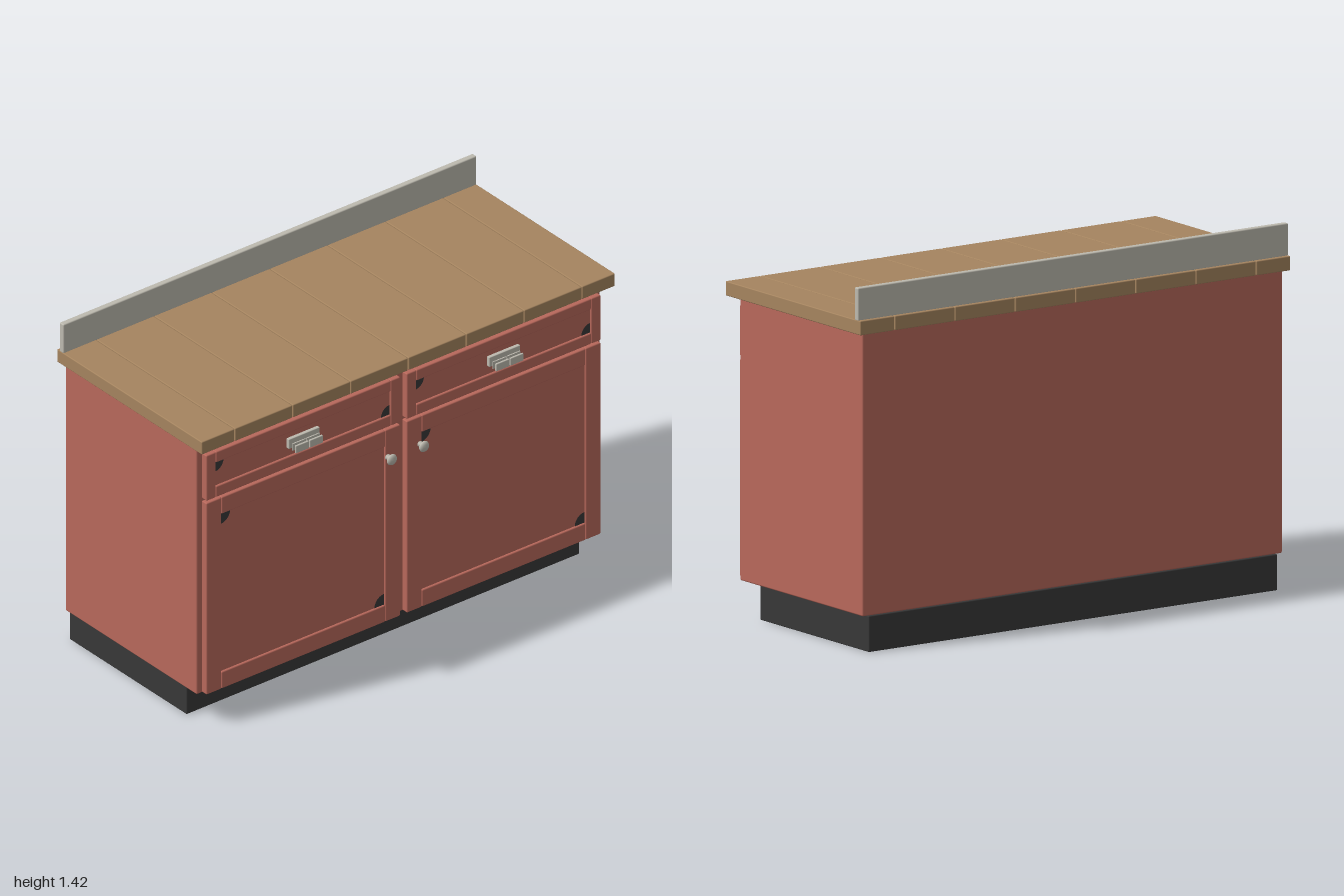
import * as THREE from 'three';
import { RoundedBoxGeometry } from 'three/addons/geometries/RoundedBoxGeometry.js';

const mat = (name, color) => {
  const m = new THREE.MeshStandardMaterial({ color });
  m.name = name;
  return m;
};

export function createModel() {
  const red = mat('red paint', 0xb8685b);
  const wood = mat('worktop wood', 0xa5845f);
  const metal = mat('pale grey', 0xbdbaaf);
  const dark = mat('charcoal', 0x383838);

  const root = new THREE.Group();
  root.name = 'kitchenCabinet';

  const group = (name) => {
    const g = new THREE.Group();
    g.name = name;
    root.add(g);
    return g;
  };

  // Box given by its limits on each axis; r is the edge rounding
  const box = (parent, name, material, [x0, x1], [y0, y1], [z0, z1], r = 0) => {
    const w = x1 - x0, h = y1 - y0, d = z1 - z0;
    const geo = r ? new RoundedBoxGeometry(w, h, d, 2, r) : new THREE.BoxGeometry(w, h, d);
    const mesh = new THREE.Mesh(geo, material);
    mesh.name = name;
    mesh.position.set((x0 + x1) / 2, (y0 + y1) / 2, (z0 + z1) / 2);
    parent.add(mesh);
    return mesh;
  };

  // Plinth, carcass and backsplash
  box(root, 'plinth', dark, [-0.43, 0.28], [0, 0.14], [-0.95, 0.95], 0.004);
  box(root, 'carcass', red, [-0.425, 0.373], [0.14, 1.236], [-0.976, 0.976], 0.006);
  box(root, 'backsplash', metal, [-0.43, -0.405], [1.288, 1.416], [-1, 1], 0.005);

  // Worktop planks with fine seams
  const worktop = group('worktop');
  const seams = [-1, -0.84, -0.56, -0.28, 0, 0.28, 0.56, 0.84, 1];
  for (let i = 0; i < seams.length - 1; i++) {
    const a = seams[i] + (i ? 0.0015 : 0);
    const b = seams[i + 1] - (i < seams.length - 2 ? 0.0015 : 0);
    box(worktop, 'plank', wood, [-0.445, 0.435], [1.235, 1.291], [a, b], 0.004);
  }

  // Quarter-disc detail in a panel corner
  const cornerPatch = (parent, y, z, r, start) => {
    const mesh = new THREE.Mesh(new THREE.CircleGeometry(r, 6, start, Math.PI / 2), dark);
    mesh.name = 'cornerPatch';
    mesh.rotation.y = Math.PI / 2;
    mesh.position.set(0.3985, y, z);
    parent.add(mesh);
  };

  // Framed front: two stiles, two rails and a recessed panel
  const framedFront = (name, [y0, y1], [z0, z1], stile, rail, r) => {
    const g = group(name);
    const x = [0.376, 0.406];
    box(g, 'stile', red, x, [y0, y1], [z0, z0 + stile], 0.005);
    box(g, 'stile', red, x, [y0, y1], [z1 - stile, z1], 0.005);
    const inner = [z0 + stile, z1 - stile];
    box(g, 'rail', red, x, [y0, y0 + rail], inner, 0.005);
    box(g, 'rail', red, x, [y1 - rail, y1], inner, 0.005);
    box(g, 'panel', red, [0.372, 0.397], [y0 + rail - 0.005, y1 - rail + 0.005],
      [inner[0] - 0.005, inner[1] + 0.005]);
    cornerPatch(g, y1 - rail, inner[1], r, Math.PI * 1.5);
    cornerPatch(g, y0 + rail, inner[0], r, Math.PI * 0.5);
    return g;
  };

  // Knob profile: radius, distance from the door
  const knobGeo = new THREE.LatheGeometry(
    [[0, 0], [0.012, 0], [0.012, 0.003], [0.008, 0.008], [0.009, 0.015], [0.02, 0.021],
      [0.023, 0.027], [0.02, 0.033], [0.011, 0.037], [0, 0.038]]
      .map(([a, b]) => new THREE.Vector2(a, b)), 20);

  for (const s of [1, -1]) {
    const span = s > 0 ? [0.016, 0.954] : [-0.954, -0.016];
    const door = framedFront('door', [0.146, 0.99], span, 0.073, 0.074, 0.047);
    const drawer = framedFront('drawer', [1.0, 1.2], span, 0.046, 0.048, 0.042);

    const knob = new THREE.Mesh(knobGeo, metal);
    knob.name = 'knob';
    knob.rotation.z = -Math.PI / 2;
    knob.position.set(0.405, 0.87, s * 0.078);
    door.add(knob);

    // Drawer pull: backplate, inner plate and a split grip
    const c = s * 0.485;
    box(drawer, 'pullBackplate', metal, [0.396, 0.412], [1.085, 1.128], [c - 0.075, c + 0.075], 0.003);
    for (const k of [1, -1]) {
      const m = c + k * 0.034;
      box(drawer, 'pullInnerPlate', metal, [0.418, 0.423], [1.08, 1.11], [m - 0.032, m + 0.032]);
      box(drawer, 'pullGrip', metal, [0.434, 0.443], [1.077, 1.11], [m - 0.032, m + 0.032], 0.003);
      box(drawer, 'pullPost', metal, [0.41, 0.436], [1.092, 1.099], [m - 0.004, m + 0.004]);
    }
  }
  return root;
}
